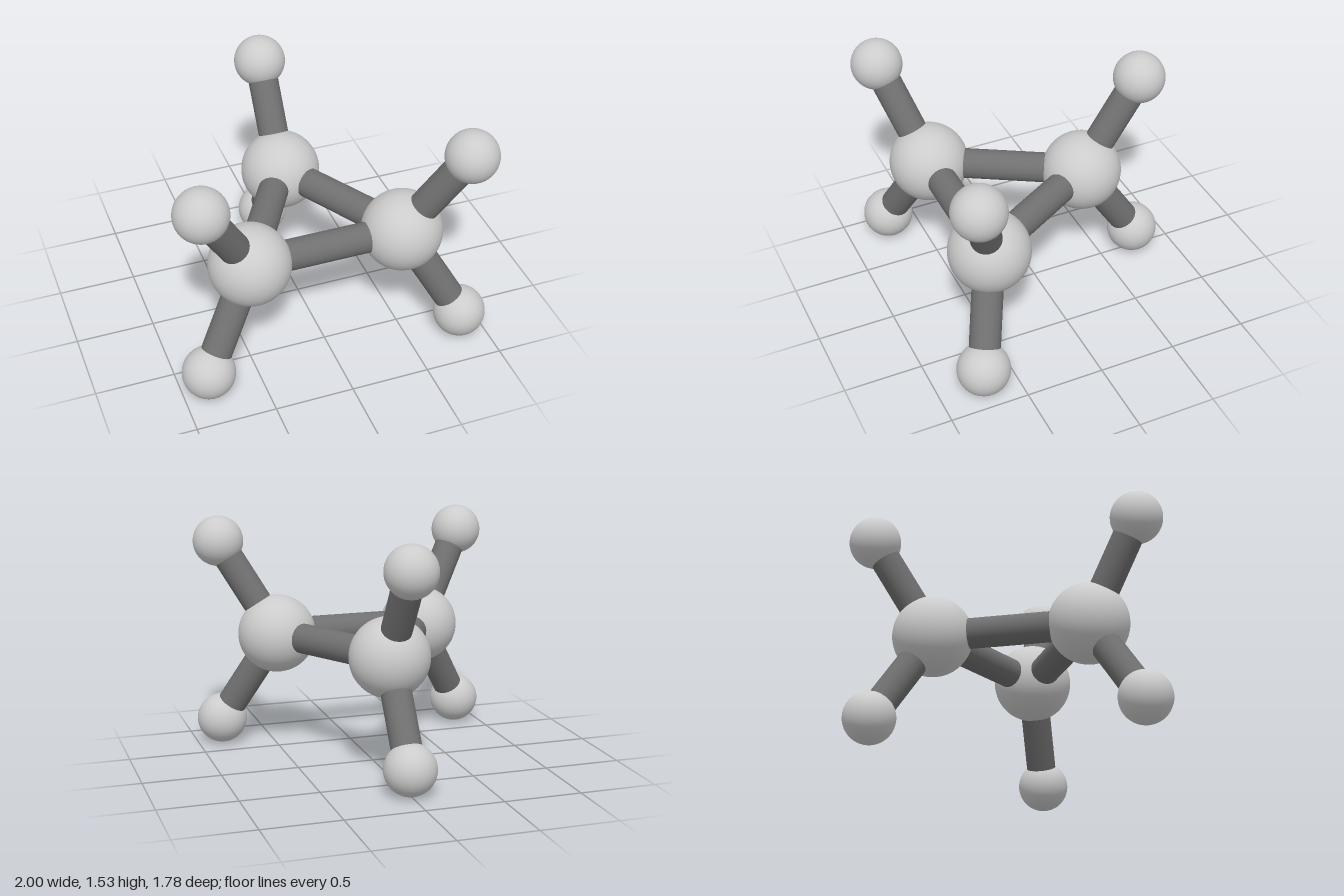
import * as THREE from 'three';

const atomMaterial = new THREE.MeshStandardMaterial({ color: 0xcccccc });
const bondMaterial = new THREE.MeshStandardMaterial({ color: 0x707070 });

const MID_Y = 0.77;        // height of the ring plane
const CENTRE_Z = 0.237;    // centroid of the triangular ring
const RING_RADIUS = 0.572;
const OUTER_RADIUS = 0.964;
const OUTER_RISE = 0.602;

// Point at an angle around the ring axis
function ringPoint(angle, radius, rise = 0) {
  return new THREE.Vector3(
    radius * Math.sin(angle), MID_Y + rise, CENTRE_Z + radius * Math.cos(angle));
}

function ball(name, position, radius) {
  const mesh = new THREE.Mesh(new THREE.SphereGeometry(radius, 48, 32), atomMaterial);
  mesh.name = name;
  mesh.position.copy(position);
  return mesh;
}

// Round rod joining two ball centres
function rod(name, from, to) {
  const direction = to.clone().sub(from);
  const geometry = new THREE.CylinderGeometry(0.097, 0.097, direction.length(), 32);
  const mesh = new THREE.Mesh(geometry, bondMaterial);
  mesh.name = name;
  mesh.position.copy(from).add(to).multiplyScalar(0.5);
  mesh.quaternion.setFromUnitVectors(new THREE.Vector3(0, 1, 0), direction.normalize());
  return mesh;
}

export function createModel() {
  const model = new THREE.Group();
  model.name = 'ballAndStickMolecule';

  const corners = [['left', Math.PI / 3], ['back', Math.PI], ['right', -Math.PI / 3]];
  const centres = corners.map(([, angle]) => ringPoint(angle, RING_RADIUS));

  corners.forEach(([side, angle], i) => {
    const corner = new THREE.Group();
    corner.name = side + 'Corner';

    // Large ring ball and the rod to the next corner
    corner.add(ball(side + 'LargeBall', centres[i], 0.255));
    corner.add(rod(side + 'RingRod', centres[i], centres[(i + 1) % 3]));

    // Small outer balls above and below the ring
    for (const [level, sign] of [['Upper', 1], ['Lower', -1]]) {
      const tip = ringPoint(angle, OUTER_RADIUS, sign * OUTER_RISE);
      corner.add(ball(side + level + 'SmallBall', tip, 0.165));
      corner.add(rod(side + level + 'Rod', centres[i], tip));
    }
    model.add(corner);
  });

  return model;
}
